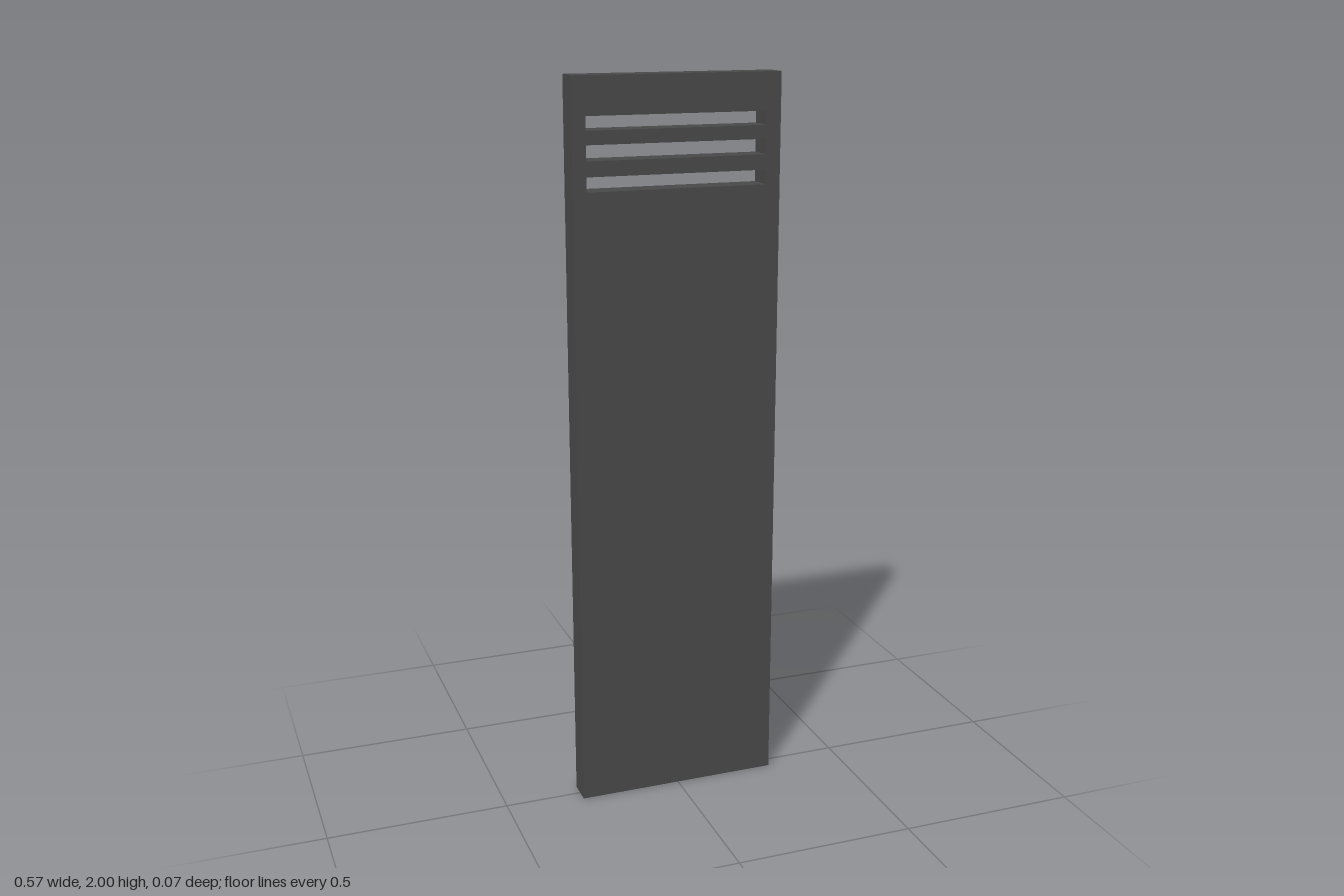
import * as THREE from 'three';

const WIDTH = 0.57, HEIGHT = 2, DEPTH = 0.072;

// Closed rectangle as corner points
const rectangle = (x0, y0, x1, y1) => [
  new THREE.Vector2(x0, y0), new THREE.Vector2(x1, y0),
  new THREE.Vector2(x1, y1), new THREE.Vector2(x0, y1),
];

export function createModel() {
  const group = new THREE.Group();
  group.name = 'lockerDoor';

  // Door panel with three vent slots cut right through
  const outline = new THREE.Shape(rectangle(-WIDTH / 2, 0, WIDTH / 2, HEIGHT));
  for (const [bottom, top] of [[1.71, 1.748], [1.788, 1.828], [1.864, 1.9]]) {
    outline.holes.push(new THREE.Path(rectangle(-0.248, bottom, 0.245, top)));
  }
  const geometry = new THREE.ExtrudeGeometry(outline, { depth: DEPTH, bevelEnabled: false });
  geometry.translate(0, 0, -DEPTH / 2);

  const panel = new THREE.Mesh(geometry, new THREE.MeshStandardMaterial({ color: 0x484848 }));
  panel.name = 'ventedPanel';
  group.add(panel);
  return group;
}
